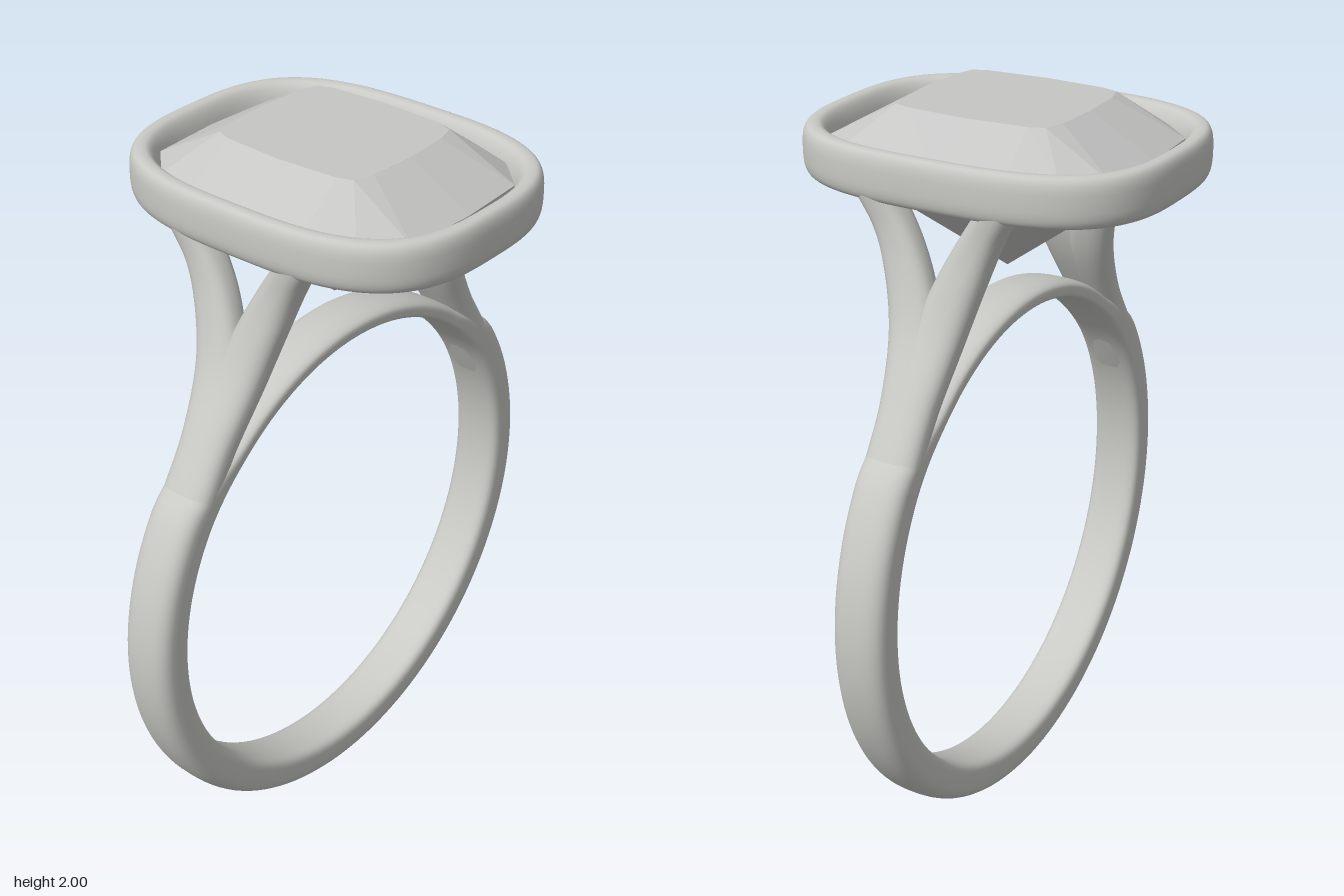
import * as THREE from 'three';
import { ConvexGeometry } from 'three/addons/geometries/ConvexGeometry.js';

const CENTRE_Y = 0.775, INNER_R = 0.66;

// Point on a superellipse of exponent n
function squircle(t, n) {
  const c = Math.cos(t), s = Math.sin(t);
  return [Math.sign(c) * Math.abs(c) ** (2 / n), Math.sign(s) * Math.abs(s) ** (2 / n)];
}

// Smooth skin through closed cross-sections; point(i, angle) returns a Vector3
function loft(rings, sides, closed, point) {
  const pos = [], index = [];
  for (let i = 0; i < rings; i++) {
    for (let j = 0; j < sides; j++) pos.push(...point(i, (j / sides) * Math.PI * 2).toArray());
  }
  for (let i = 0; i < (closed ? rings : rings - 1); i++) {
    for (let j = 0; j < sides; j++) {
      const k = (j + 1) % sides, n = (i + 1) % rings;
      const a = i * sides + j, b = i * sides + k, c = n * sides + k, d = n * sides + j;
      index.push(a, b, c, a, c, d);
    }
  }
  const g = new THREE.BufferGeometry();
  g.setAttribute('position', new THREE.Float32BufferAttribute(pos, 3));
  g.setIndex(index);
  g.computeVertexNormals();
  return g;
}

// Finger band: flat inside, rounded outside, thinner across the top arch
function bandGeometry() {
  const rings = 144;
  return loft(rings, 36, true, (i, t) => {
    const phi = (i / rings) * Math.PI * 2;
    const fromTop = Math.acos(Math.sin(phi)) * 180 / Math.PI;
    const half = (0.052 + 0.058 * THREE.MathUtils.smoothstep(fromTop, 38, 58)) / 2;
    const [u, v] = squircle(t, Math.cos(t) < 0 ? 4.5 : 2.8);
    const r = INNER_R + half + u * half;
    return new THREE.Vector3(r * Math.cos(phi), CENTRE_Y + r * Math.sin(phi), -v * 0.075);
  });
}

// One shoulder leg: leaves the band and spreads sideways up to the bezel
function legGeometry(side) {
  const path = new THREE.CatmullRomCurve3([
    [0.645, 1.06, 0.001], [0.57, 1.2, 0.001], [0.485, 1.34, 0.003], [0.398, 1.5, 0.032],
    [0.352, 1.65, 0.08], [0.338, 1.75, 0.125], [0.342, 1.85, 0.185],
  ].map(p => new THREE.Vector3(...p)));
  const rings = 40;
  return loft(rings + 1, 28, false, (i, t) => {
    const f = Math.min(i / (rings - 1), 1);
    const p = path.getPoint(f), d = path.getTangent(f).setZ(0).normalize();
    const cap = i === rings ? 0 : 1;
    const halfWidth = THREE.MathUtils.lerp(0.074, 0.055, THREE.MathUtils.smoothstep(f, 0.35, 0.95));
    const [u, v] = squircle(t, 2.5);
    const a = u * 0.047 * cap;
    return new THREE.Vector3(p.x + d.y * a, p.y - d.x * a, p.z * side - v * halfWidth * cap);
  });
}

// Cushion-shaped bezel rim; the inner wall slopes in towards the stone
function bezelGeometry() {
  const rings = 120;
  return loft(rings, 32, true, (i, t) => {
    const phi = (i / rings) * Math.PI * 2;
    const [cx, cz] = squircle(phi, 3);
    const [u, v] = squircle(t, 2.9);
    const offset = u * 0.028 * (u < 0 ? 1 + 0.5 * (1 - v) : 1);
    return new THREE.Vector3(cx * (0.372 + offset), 1.875 + v * 0.065, cz * (0.472 + offset));
  });
}

// Faceted cushion-cut stone
function stoneGeometry() {
  const table = [[0.21, 0], [0.2, 0.17], [0.185, 0.212], [0.13, 0.228], [0, 0.235]];
  const girdle = [[0.35, 0], [0.338, 0.18], [0.295, 0.31], [0.205, 0.4], [0, 0.412]];
  const points = [new THREE.Vector3(0, 1.555, 0)];
  const addRing = (quarter, y) => quarter.forEach(([x, z]) => {
    for (const sx of x ? [1, -1] : [1]) {
      for (const sz of z ? [1, -1] : [1]) points.push(new THREE.Vector3(x * sx, y, z * sz));
    }
  });
  addRing(table, 2);
  addRing(girdle, 1.9);
  addRing(girdle, 1.855);
  return new ConvexGeometry(points);
}

export function createModel() {
  const metal = new THREE.MeshStandardMaterial({ name: 'silver grey metal', color: 0xc8c8c4 });
  const gem = new THREE.MeshStandardMaterial({ name: 'grey stone', color: 0xc6c6c5 });
  const model = new THREE.Group();
  model.name = 'ring';

  const add = (parent, name, geometry, material) => {
    const mesh = new THREE.Mesh(geometry, material);
    mesh.name = name;
    parent.add(mesh);
  };

  add(model, 'band', bandGeometry(), metal);
  add(model, 'bezel', bezelGeometry(), metal);
  add(model, 'stone', stoneGeometry(), gem);

  // Split shoulders, the second turned half round
  const frontLeg = legGeometry(1), backLeg = legGeometry(-1);
  ['leftShoulder', 'rightShoulder'].forEach((name, i) => {
    const shoulder = new THREE.Group();
    shoulder.name = name;
    shoulder.rotation.y = i * Math.PI;
    add(shoulder, 'shoulderLegA', frontLeg, metal);
    add(shoulder, 'shoulderLegB', backLeg, metal);
    model.add(shoulder);
  });
  return model;
}
